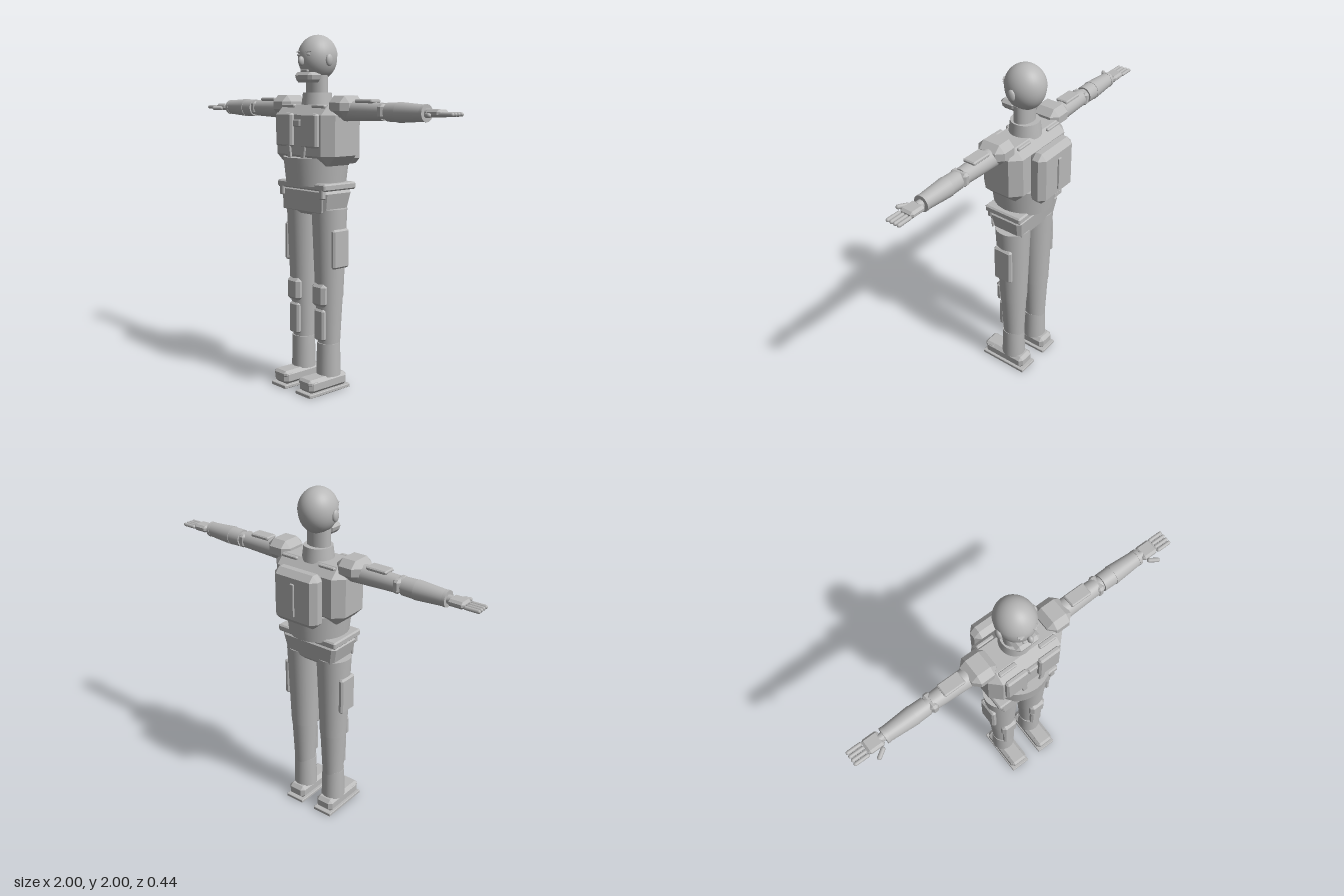
import * as THREE from 'three';
import { ConvexGeometry } from 'three/addons/geometries/ConvexGeometry.js';

const grey = new THREE.MeshStandardMaterial({ color: 0xb8b8b8 });
grey.name = 'grey';

// Box with every edge chamfered by c; taper scales the bottom in x and z
function chamferBox(w, h, d, c, taper = 1) {
  const pts = [];
  for (const sx of [-1, 1]) for (const sy of [-1, 1]) for (const sz of [-1, 1]) {
    const x = sx * w / 2, y = sy * h / 2, z = sz * d / 2;
    const k = sy < 0 ? taper : 1;
    pts.push(
      new THREE.Vector3(x * k, y - sy * c, (z - sz * c) * k),
      new THREE.Vector3((x - sx * c) * k, y, (z - sz * c) * k),
      new THREE.Vector3((x - sx * c) * k, y - sy * c, z * k));
  }
  return new ConvexGeometry(pts);
}

export function createModel() {
  const model = new THREE.Group();
  model.name = 'armouredFigure';

  function add(name, geometry, x, y, z) {
    const mesh = new THREE.Mesh(geometry, grey);
    mesh.name = name;
    mesh.position.set(x, y, z);
    model.add(mesh);
    return mesh;
  }
  const block = (name, w, h, d, c, x, y, z, taper) => add(name, chamferBox(w, h, d, c, taper), x, y, z);
  const tube = (name, rTop, rBottom, h, x, y, z, n = 32) =>
    add(name, new THREE.CylinderGeometry(rTop, rBottom, h, n), x, y, z);
  function ball(name, rx, ry, rz, x, y, z) {
    const mesh = add(name, new THREE.SphereGeometry(1, 32, 20), x, y, z);
    mesh.scale.set(rx, ry, rz);
    return mesh;
  }
  // Limb section lying along x, from x0 (radius r0) out to x1 (radius r1)
  function armTube(name, s, x0, x1, r0, r1) {
    tube(name, r1, r0, x1 - x0, s * (x0 + x1) / 2, 1.59, 0.015).rotation.z = -s * Math.PI / 2;
  }

  // Head
  ball('head', 0.104, 0.124, 0.113, 0, 1.874, 0.01);
  const cap = add('skullCap', new THREE.SphereGeometry(1, 32, 12, 0, Math.PI * 2, 0, 1.42), 0, 1.874, 0.01);
  cap.scale.set(0.107, 0.126, 0.116);
  cap.rotation.x = -0.12;
  ball('nose', 0.015, 0.026, 0.02, 0, 1.855, 0.13);
  block('jaw', 0.14, 0.058, 0.1, 0.018, 0, 1.768, 0.08, 0.92);
  block('mouth', 0.055, 0.012, 0.02, 0.003, 0, 1.803, 0.105);
  tube('neck', 0.07, 0.07, 0.12, 0, 1.72, 0.015).scale.z = 0.75;
  tube('collar', 0.08, 0.09, 0.08, 0, 1.645, 0.012);

  // Torso
  block('chest', 0.474, 0.33, 0.265, 0.055, 0, 1.455, 0.02);
  tube('abdomen', 0.185, 0.168, 0.155, 0, 1.255, 0.02, 40);
  block('sternumClip', 0.06, 0.04, 0.03, 0.006, 0, 1.52, 0.155);
  block('backpack', 0.29, 0.305, 0.1, 0.032, 0, 1.44, -0.16);
  block('backpackStrip', 0.025, 0.19, 0.012, 0.003, 0, 1.435, -0.213);

  // Belt and hips
  block('belt', 0.4, 0.04, 0.24, 0.008, 0, 1.175, 0.02);
  block('hips', 0.375, 0.145, 0.215, 0.02, 0, 1.085, 0.02, 0.87);
  block('hipPlate', 0.34, 0.12, 0.012, 0.004, 0, 1.09, 0.122, 0.96);

  for (const s of [-1, 1]) {
    // Face details
    ball('ear', 0.014, 0.033, 0.023, s * 0.106, 1.86, 0.02);
    block('brow', 0.034, 0.007, 0.016, 0.002, s * 0.043, 1.905, 0.111).rotation.y = s * 0.4;
    ball('eye', 0.013, 0.006, 0.008, s * 0.04, 1.889, 0.113);

    // Chest fittings
    block('chestPlate', 0.135, 0.185, 0.035, 0.01, s * 0.103, 1.482, 0.16);
    block('chestStrap', 0.03, 0.13, 0.014, 0.004, s * 0.062, 1.385, 0.168).rotation.z = -s * 0.16;
    block('frontCollarStrip', 0.105, 0.018, 0.026, 0.005, s * 0.125, 1.612, 0.112);
    block('rearCollarStrip', 0.105, 0.018, 0.02, 0.005, s * 0.125, 1.612, -0.075);
    block('beltPouch', 0.035, 0.06, 0.03, 0.006, s * 0.165, 1.14, 0.125);

    // Arm
    block('shoulderPad', 0.152, 0.115, 0.172, 0.036, s * 0.235, 1.612, 0.018);
    armTube('upperArm', s, 0.2, 0.52, 0.058, 0.046);
    block('upperArmPlate', 0.125, 0.02, 0.075, 0.006, s * 0.395, 1.643, 0.015);
    armTube('elbow', s, 0.51, 0.57, 0.04, 0.04);
    block('elbowPad', 0.045, 0.075, 0.1, 0.013, s * 0.523, 1.592, 0.015);
    armTube('forearmBand', s, 0.55, 0.635, 0.049, 0.051);
    armTube('forearm', s, 0.625, 0.79, 0.053, 0.042);
    armTube('cuff', s, 0.785, 0.803, 0.044, 0.044);
    armTube('wrist', s, 0.8, 0.83, 0.024, 0.022);

    // Hand
    block('palm', 0.094, 0.038, 0.084, 0.012, s * 0.862, 1.591, 0.013);
    for (let i = 0; i < 4; i++) {
      const finger = add('finger', new THREE.CapsuleGeometry(0.0105, 0.07, 4, 10), s * 0.952, 1.588, -0.02 + i * 0.023);
      finger.rotation.z = Math.PI / 2;
    }
    const thumb = add('thumb', new THREE.CapsuleGeometry(0.012, 0.045, 4, 10), s * 0.86, 1.583, 0.078);
    thumb.rotation.set(0, -s * 0.6, Math.PI / 2);

    // Leg
    const x = s * 0.107;
    tube('thigh', 0.1, 0.079, 0.51, x, 0.795, 0.018);
    tube('shin', 0.077, 0.062, 0.29, x, 0.4, 0.019);
    tube('bootShaft', 0.066, 0.07, 0.19, x, 0.185, 0.023);
    block('thighPlate', 0.032, 0.22, 0.118, 0.01, s * 0.196, 0.83, 0.02);
    block('kneePad', 0.105, 0.13, 0.05, 0.018, x, 0.563, 0.09);
    block('shinPad', 0.078, 0.18, 0.035, 0.01, x, 0.39, 0.086);

    // Foot
    block('sole', 0.125, 0.02, 0.31, 0.003, x, 0.01, 0.065);
    block('shoe', 0.117, 0.08, 0.285, 0.02, x, 0.057, 0.065);
    block('toeCap', 0.108, 0.04, 0.08, 0.014, x, 0.077, 0.172);
  }
  return model;
}
